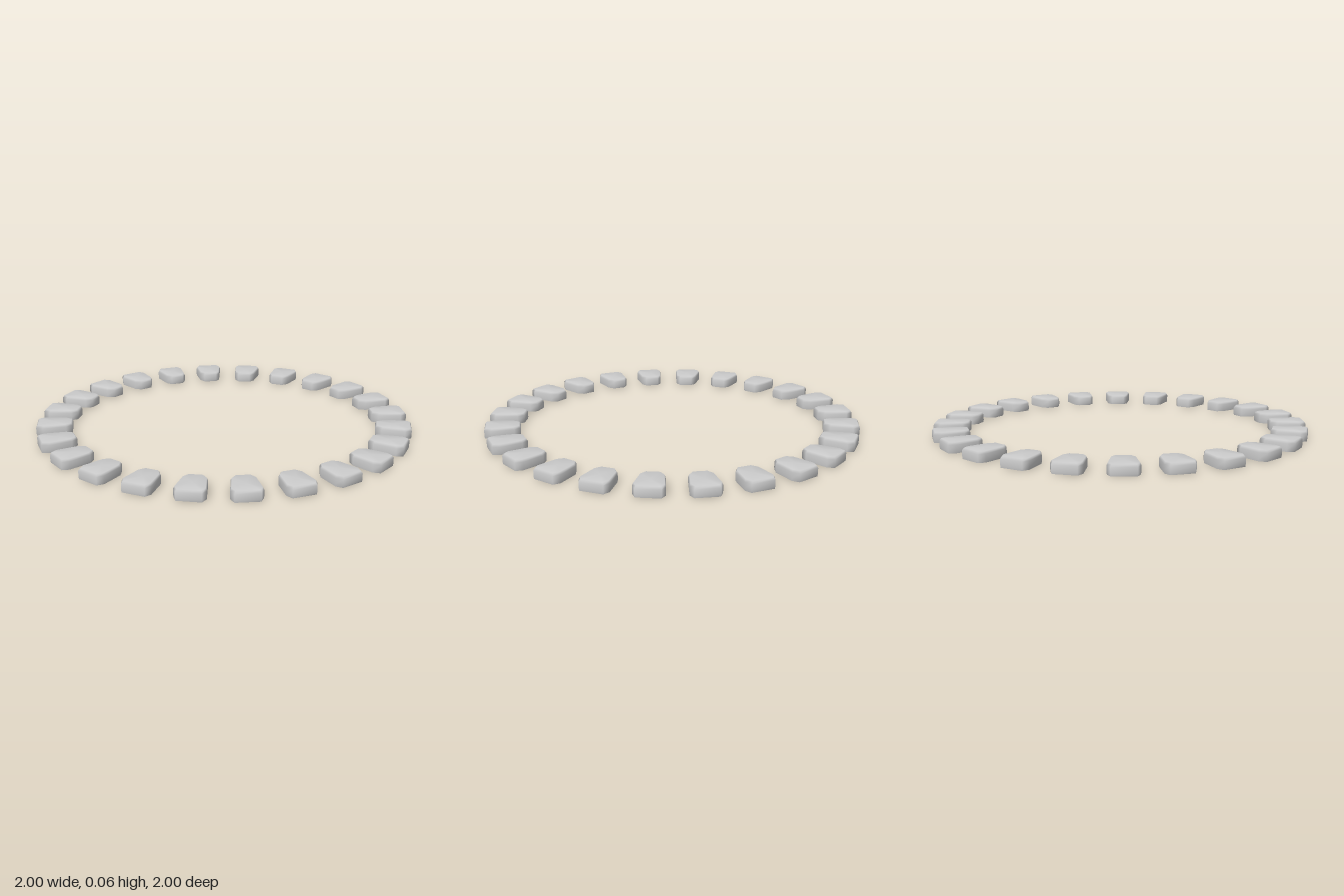
import * as THREE from 'three';

const COUNT = 24;
const RADIUS = 0.91;

// Half of the wedge outline (x, distance from ring centre), from outer to inner edge
const HALF = [[0.06, 1.0], [0.076, 0.965], [0.06, 0.845], [0.036, 0.812]];
const OUTLINE = [...HALF, ...HALF.map(([x, z]) => [-x, z]).reverse()];

// Hollow stone: straight wall, softened rim, closed top, open underside
function stoneGeometry() {
  const levels = [[0, 0.98], [0.012, 1], [0.042, 1], [0.054, 0.92]]; // height, outline scale
  const n = OUTLINE.length;
  const positions = [];
  const index = [];
  for (const [y, s] of levels) {
    for (const [x, z] of OUTLINE) positions.push(x * s, y, (z - RADIUS) * s);
  }
  positions.push(0, 0.056, 0);
  const centre = levels.length * n;
  for (let i = 0; i < n; i++) {
    const j = (i + 1) % n;
    for (let k = 0; k < levels.length - 1; k++) {
      const a = k * n + i, b = k * n + j;
      index.push(a, b, b + n, a, b + n, a + n);
    }
    index.push(centre, centre - n + i, centre - n + j);
  }
  const geometry = new THREE.BufferGeometry();
  geometry.setAttribute('position', new THREE.Float32BufferAttribute(positions, 3));
  geometry.setIndex(index);
  geometry.computeVertexNormals();
  return geometry;
}

export function createModel() {
  const model = new THREE.Group();
  model.name = 'stoneRing';
  const geometry = stoneGeometry();
  const material = new THREE.MeshStandardMaterial({ color: 0xcccccc, side: THREE.DoubleSide });

  // Stones evenly spaced, wide end facing outward
  for (let i = 0; i < COUNT; i++) {
    const angle = (i / COUNT) * Math.PI * 2;
    const stone = new THREE.Mesh(geometry, material);
    stone.name = `stone${i + 1}`;
    stone.position.set(Math.sin(angle) * RADIUS, 0, Math.cos(angle) * RADIUS);
    stone.rotation.y = angle;
    model.add(stone);
  }
  return model;
}
